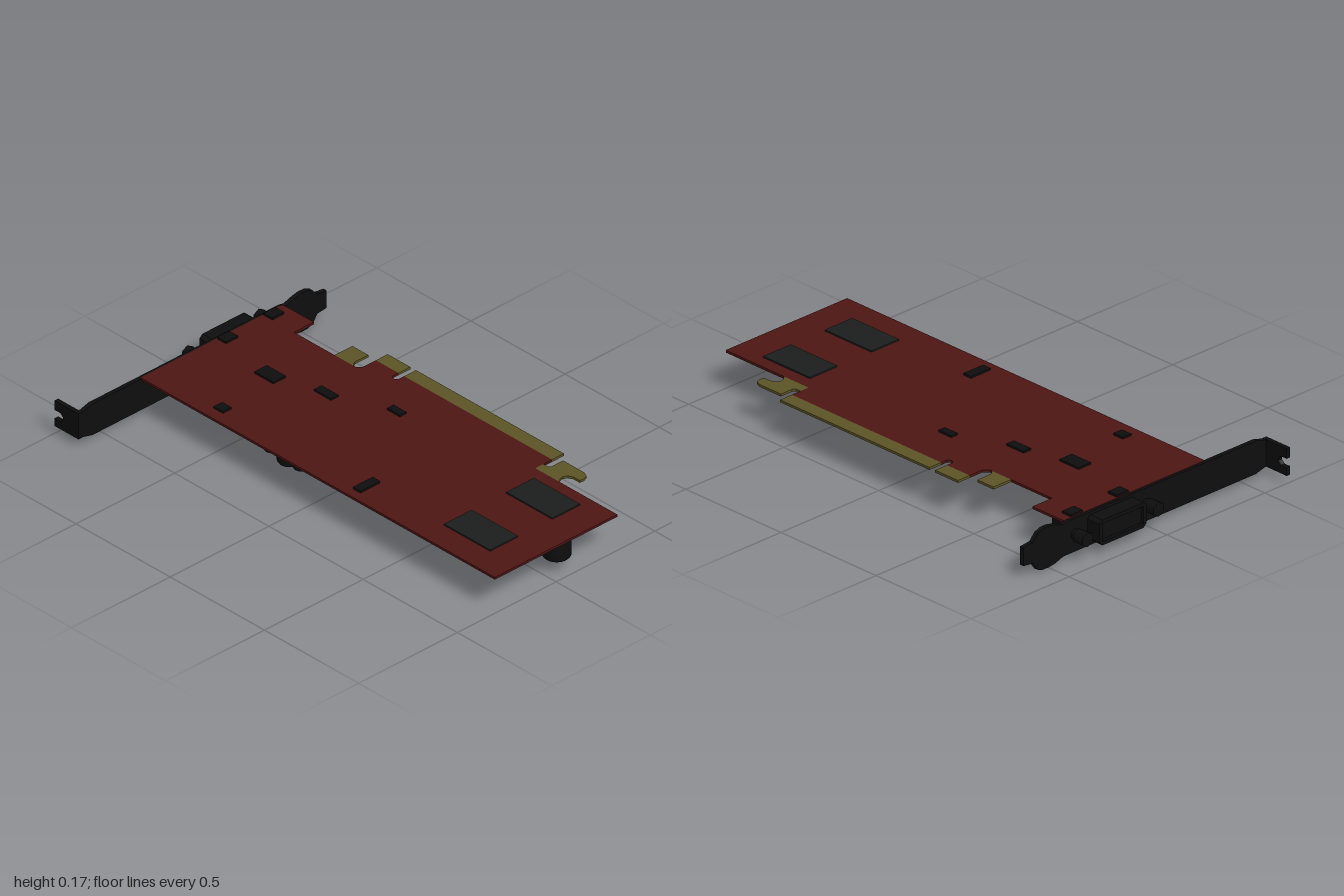
import * as THREE from 'three';

const mat = (color) => new THREE.MeshStandardMaterial({ color });

export function createModel() {
  const root = new THREE.Group();
  root.name = 'expansionCard';
  const red = mat(0x4e1613), gold = mat(0x5c5426), black = mat(0x0e0e0e), chipGrey = mat(0x1c1e1e);
  const TOP = 0.157, BOTTOM = 0.147;

  const add = (name, geometry, material, x = 0, y = 0, z = 0, parent = root) => {
    const mesh = new THREE.Mesh(geometry, material);
    mesh.name = name;
    mesh.position.set(x, y, z);
    parent.add(mesh);
    return mesh;
  };
  // Box given by its limits on each axis
  const block = (name, material, [x0, x1], [y0, y1], [z0, z1], parent) =>
    add(name, new THREE.BoxGeometry(x1 - x0, y1 - y0, z1 - z0), material,
      (x0 + x1) / 2, (y0 + y1) / 2, (z0 + z1) / 2, parent);
  const outline = (points) => new THREE.Shape(points.map(([a, b]) => new THREE.Vector2(a, b)));
  const extrude = (shape, depth) => new THREE.ExtrudeGeometry(shape, { depth, bevelEnabled: false });
  // Flat slab with an (x, z) outline, as thick as the board
  const slab = (name, points, material) =>
    add(name, extrude(outline(points.map(([x, z]) => [x, -z])), TOP - BOTTOM).rotateX(-Math.PI / 2), material, 0, BOTTOM, 0);

  // Circuit board with bracket tab, edge tongue and key slot
  slab('circuitBoard', [
    [-0.31, -0.88], [0.41, -0.88], [0.41, -0.715], [0.31, -0.715], [0.31, -0.39], [0.33, -0.37],
    [0.395, -0.37], [0.395, -0.25], [0.365, -0.25], [0.355, -0.235], [0.365, -0.22], [0.395, -0.22],
    [0.395, 0.565], [0.31, 0.565], [0.31, 1], [-0.31, 1],
  ], red);

  // Gold edge contacts and retention hook
  slab('edgeContactLong', [[0.395, -0.22], [0.455, -0.22], [0.455, 0.565], [0.395, 0.565]], gold);
  slab('edgeContactShort', [[0.395, -0.37], [0.455, -0.37], [0.455, -0.25], [0.395, -0.25]], gold);
  slab('edgeTab', [[0.31, -0.5], [0.4, -0.5], [0.4, -0.415], [0.33, -0.415], [0.31, -0.4]], gold);
  slab('retentionHook', [
    [0.31, 0.565], [0.35, 0.565], [0.352, 0.588], [0.362, 0.597], [0.42, 0.597], [0.42, 0.71],
    [0.41, 0.732], [0.39, 0.74], [0.37, 0.738], [0.37, 0.705], [0.36, 0.685], [0.342, 0.676],
    [0.325, 0.68], [0.31, 0.695],
  ], gold);

  // Memory chips on both faces
  for (const x of [-0.13, 0.185]) {
    block('memoryChipTop', chipGrey, [x - 0.07, x + 0.07], [TOP, 0.163], [0.615, 0.86]);
    block('memoryChipBottom', black, [x - 0.07, x + 0.07], [0.14, BOTTOM], [0.615, 0.86]);
  }

  // Small parts on the upper face
  [
    [-0.26, -0.217, -0.545, -0.495], [0.012, 0.075, -0.613, -0.513], [0.087, 0.125, -0.375, -0.285],
    [0.192, 0.225, -0.098, -0.03], [-0.27, -0.17, 0.205, 0.245],
  ].forEach(([x0, x1, z0, z1]) => block('smallChip', black, [x0, x1], [TOP, 0.165], [z0, z1]));

  // Heat sink: base plate and rows of thin fins under the board
  const heatSink = new THREE.Group();
  heatSink.name = 'heatSink';
  root.add(heatSink);
  block('heatSinkBase', black, [-0.25, 0.25], [0.136, BOTTOM], [-0.035, 0.69], heatSink);
  const finRows = [0.65, 0.598];
  for (let i = 0; i < 10; i++) finRows.push(0.457 - i * 0.0487);
  const fin = new THREE.BoxGeometry(0.022, 0.052, 0.011);
  for (const z of finRows) {
    for (let i = 0; i < 16; i++) add('heatSinkFin', fin, chipGrey, -0.228 + i * 0.0304, 0.111, z, heatSink);
  }

  // Capacitors: x, z, radius, lowest y
  [
    [0.068, 0.932, 0.055, 0.055], [-0.22, -0.185, 0.046, 0.075], [-0.228, -0.113, 0.034, 0.086],
    [-0.228, -0.267, 0.034, 0.094], [0.18, -0.57, 0.032, 0.088], [-0.14, -0.497, 0.03, 0.088],
  ].forEach(([x, z, r, y]) => {
    const profile = [[0, 0], [r * 0.88, 0], [r, 0.008], [r, BOTTOM - y - 0.02],
      [r * 0.93, BOTTOM - y - 0.014], [r, BOTTOM - y - 0.008], [r, BOTTOM - y]];
    const geometry = new THREE.LatheGeometry(profile.map(([a, b]) => new THREE.Vector2(a, b)), 24);
    add('capacitor', geometry, black, x, y, z);
  });

  // Mounting bracket plate with rounded slot tongue
  const plate = outline([
    [-0.63, 0.032], [-0.605, 0.032], [-0.56, 0.02], [0.425, 0.02], [0.465, 0.006], [0.5, 0.001],
    [0.53, 0.002], [0.555, 0.01], [0.58, 0.045], [0.627, 0.05], [0.627, 0.125], [0.58, 0.13],
    [0.555, 0.158], [0.53, 0.168], [0.5, 0.17], [0.465, 0.163], [0.425, 0.15], [0.4, 0.155],
    [-0.56, 0.155], [-0.605, 0.143], [-0.63, 0.143],
  ]);
  add('bracketPlate', extrude(plate, 0.018), black, 0, 0, -0.892);

  // Bent bracket lip with an open screw notch
  const lip = outline([
    [0.88, 0.032], [1, 0.032], [1, 0.066], [0.97, 0.066], [0.957, 0.08], [0.957, 0.09],
    [0.97, 0.102], [1, 0.102], [1, 0.143], [0.88, 0.143],
  ]);
  add('bracketLip', extrude(lip, 0.018).rotateY(Math.PI / 2), black, -0.63, 0, 0);

  // Video port: housing under the board, outer shell, recessed socket
  const port = new THREE.Group();
  port.name = 'videoPort';
  root.add(port);
  block('portHousing', black, [0.03, 0.34], [0.055, BOTTOM], [-0.876, -0.745], port);
  const shell = outline([[0.075, 0.04], [0.285, 0.04], [0.3, 0.055], [0.3, 0.13], [0.285, 0.143],
    [0.075, 0.143], [0.06, 0.13], [0.06, 0.055]]);
  shell.holes.push(new THREE.Path([[0.075, 0.055], [0.075, 0.128], [0.285, 0.128], [0.285, 0.055]]
    .map(([x, y]) => new THREE.Vector2(x, y))));
  add('portShell', extrude(shell, 0.064), black, 0, 0, -0.955, port);
  block('portSocket', black, [0.07, 0.29], [0.05, 0.133], [-0.94, -0.89], port);
  for (const x of [0.105, 0.34]) block('portClip', black, [x - 0.03, x + 0.03], [0.13, 0.166], [-0.876, -0.83], port);

  // Hexagonal jack screws either side of the port
  for (const x of [0.003, 0.365]) {
    add('jackScrewShank', new THREE.CylinderGeometry(0.02, 0.02, 0.03, 16).rotateX(Math.PI / 2), black, x, 0.092, -0.9, port);
    add('jackScrewNut', new THREE.CylinderGeometry(0.03, 0.03, 0.05, 6).rotateX(Math.PI / 2), black, x, 0.092, -0.935, port);
  }
  return root;
}
